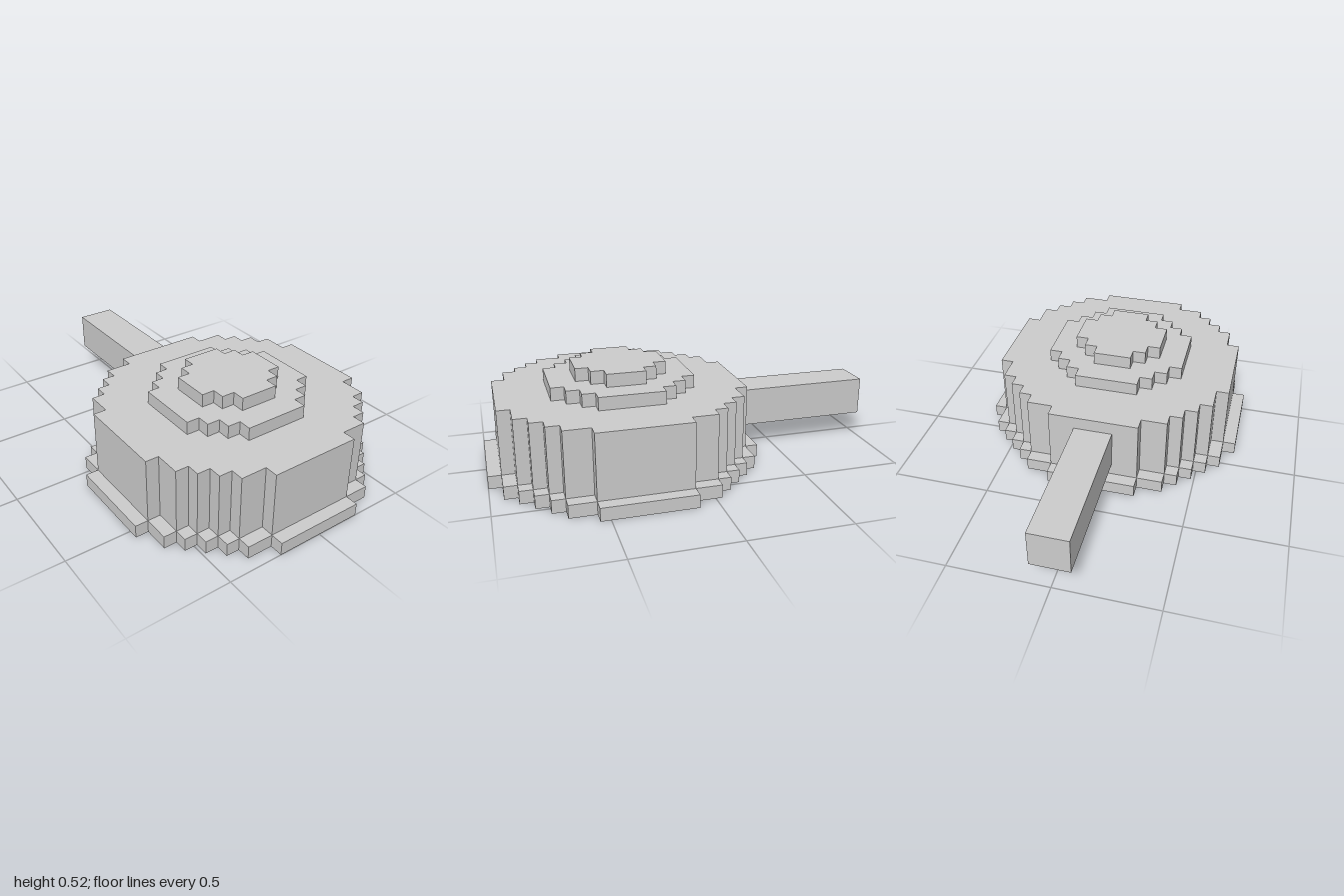
import * as THREE from 'three';

const U = 2 / 31; // one block of the stepped grid
const CENTRE_Z = 5; // centre of the round part, in blocks
const material = new THREE.MeshStandardMaterial({ color: 0xcccccc, flatShading: true });

// Stepped disc: outer corners [x, z] of one quadrant, turned four times, between heights y0 and y1
function steppedDisc(name, corners, y0, y1) {
  const quadrant = [];
  corners.forEach(([x, z], i) => {
    quadrant.push([x, z]);
    if (i < corners.length - 1) quadrant.push([x, corners[i + 1][1]]);
  });
  const points = [];
  for (let turn = 0; turn < 4; turn++) {
    for (const [x, z] of quadrant) {
      const p = [[x, z], [z, -x], [-x, -z], [-z, x]][turn];
      points.push(new THREE.Vector2(p[0] * U, p[1] * U));
    }
  }
  const geometry = new THREE.ExtrudeGeometry(new THREE.Shape(points), {
    depth: (y1 - y0) * U,
    bevelEnabled: false,
  });
  geometry.rotateX(-Math.PI / 2);
  const mesh = new THREE.Mesh(geometry, material);
  mesh.name = name;
  mesh.position.set(0, y0 * U, CENTRE_Z * U);
  return mesh;
}

export function createModel() {
  const model = new THREE.Group();
  model.name = 'steppedPan';

  // Round tiers from the bottom up
  model.add(
    steppedDisc('baseRim', [[3.5, 10.5], [5.5, 9.5], [6.5, 8.5], [7.5, 7.5], [8.5, 6.5], [9.5, 5.5], [10.5, 3.5]], 0, 1),
    steppedDisc('body', [[3.5, 9.5], [5.5, 8.5], [6.5, 7.5], [7.5, 6.5], [8.5, 5.5], [9.5, 3.5]], 1, 6),
    steppedDisc('lowerTier', [[2.5, 5.5], [3.5, 4.5], [4.5, 3.5], [5.5, 2.5]], 6, 7),
    steppedDisc('upperTier', [[1.5, 3.5], [2.5, 2.5], [3.5, 1.5]], 7, 8),
  );

  // Square handle running straight back from the body
  const handle = new THREE.Mesh(new THREE.BoxGeometry(3 * U, 3 * U, 11 * U), material);
  handle.name = 'handle';
  handle.position.set(0, 3.5 * U, -10 * U);
  model.add(handle);

  return model;
}
